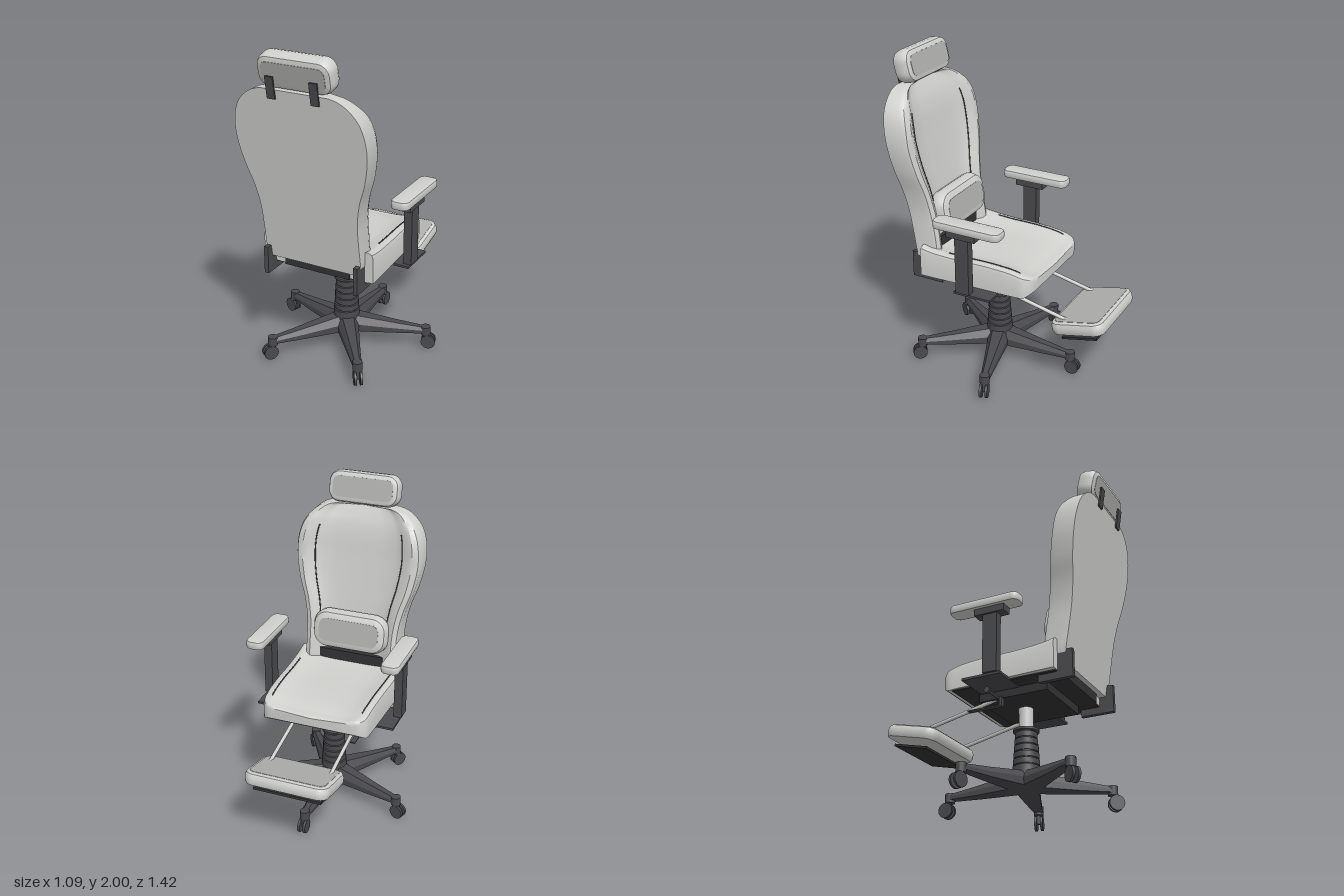
import * as THREE from 'three';
import { toCreasedNormals } from 'three/addons/utils/BufferGeometryUtils.js';

const mat = (name, color, side = THREE.FrontSide) => {
  const m = new THREE.MeshStandardMaterial({ color, side });
  m.name = name;
  return m;
};

// Solid skin over a list of closed rings, with both ends capped
function loft(rings, crease = 0.6) {
  const n = rings[0].length, pos = [], idx = [];
  rings.forEach(r => r.forEach(p => pos.push(p.x, p.y, p.z)));
  for (let i = 0; i < rings.length - 1; i++) for (let j = 0; j < n; j++) {
    const a = i * n + j, b = i * n + (j + 1) % n;
    idx.push(a, b, b + n, a, b + n, a + n);
  }
  [0, rings.length - 1].forEach(i => {
    const c = new THREE.Vector3(), centre = pos.length / 3;
    rings[i].forEach(p => c.addScaledVector(p, 1 / n));
    pos.push(c.x, c.y, c.z);
    for (let j = 0; j < n; j++) {
      const a = i * n + j, b = i * n + (j + 1) % n;
      if (i) idx.push(a, b, centre); else idx.push(b, a, centre);
    }
  });
  const g = new THREE.BufferGeometry();
  g.setAttribute('position', new THREE.Float32BufferAttribute(pos, 3));
  g.setIndex(idx);
  return toCreasedNormals(g, crease);
}

// Full cushion section from half a profile of [across, depth] fractions
const section = half => [[-1, 0], [1, 0], ...half, ...half.filter(p => p[0] > 0).reverse().map(([x, d]) => [-x, d])];
const smoothRows = (rows, n) => new THREE.CatmullRomCurve3(rows.map(r => new THREE.Vector3(...r)), false, 'centripetal').getPoints(n);

function roundedRect(w, h, r) {
  const s = new THREE.Shape(), x = w / 2, y = h / 2;
  s.moveTo(-x + r, -y);
  s.lineTo(x - r, -y).absarc(x - r, -y + r, r, -Math.PI / 2, 0);
  s.lineTo(x, y - r).absarc(x - r, y - r, r, 0, Math.PI / 2);
  s.lineTo(-x + r, y).absarc(-x + r, y - r, r, Math.PI / 2, Math.PI);
  s.lineTo(-x, -y + r).absarc(-x + r, -y + r, r, Math.PI, Math.PI * 1.5);
  return s;
}

export function createModel() {
  const model = new THREE.Group();
  model.name = 'recliningOfficeChair';
  const leather = mat('light grey leather', 0xd0d0cd);
  const panel = mat('mid grey panel', 0xb0b0ae);
  const plastic = mat('dark grey plastic', 0x4a4a4e);
  const black = mat('black underside', 0x333335);
  const metal = mat('pale metal', 0xd2d2cf);

  const add = (name, geo, material, x = 0, y = 0, z = 0, parent = model) => {
    const m = new THREE.Mesh(geo, material);
    m.name = name;
    m.position.set(x, y, z);
    parent.add(m);
    return m;
  };
  // Box given by its limits
  const box = (name, material, x0, x1, y0, y1, z0, z1) =>
    add(name, new THREE.BoxGeometry(x1 - x0, y1 - y0, z1 - z0), material, (x0 + x1) / 2, (y0 + y1) / 2, (z0 + z1) / 2);
  const tube = (name, material, pts, r, n = 24) =>
    add(name, new THREE.TubeGeometry(new THREE.CatmullRomCurve3(pts), n, r, 8), material);
  const V = (x, y, z) => new THREE.Vector3(x, y, z);

  // Bevelled cushion with an inset plate on the chosen faces
  function cushion(name, w, h, d, r, bevel, tilt, x, y, z, faces) {
    const g = new THREE.Group();
    g.name = name;
    g.position.set(x, y, z);
    g.rotation.x = tilt;
    model.add(g);
    const body = new THREE.ExtrudeGeometry(roundedRect(w - 2 * bevel, h - 2 * bevel, r), {
      depth: d - 2 * bevel, bevelSize: bevel, bevelThickness: bevel, bevelSegments: 2, curveSegments: 8 });
    body.translate(0, 0, bevel - d / 2);
    add(name + 'Body', toCreasedNormals(body, 0.5), leather, 0, 0, 0, g);
    faces.forEach(f => {
      const plate = new THREE.ExtrudeGeometry(roundedRect(w - 2 * bevel, h - 2 * bevel, r), { depth: 0.004, bevelEnabled: false, curveSegments: 8 });
      add(name + 'Panel', plate, panel, 0, 0, f * d / 2 - 0.002, g);
    });
  }

  // Backrest: rows of [height, half width, thickness]
  const backRows = smoothRows([[0.7, 0.3, 0.13], [0.76, 0.312, 0.15], [0.9, 0.312, 0.16], [1.05, 0.316, 0.16], [1.18, 0.34, 0.16],
    [1.32, 0.385, 0.158], [1.48, 0.412, 0.156], [1.6, 0.402, 0.156], [1.68, 0.372, 0.142], [1.74, 0.32, 0.115], [1.775, 0.265, 0.095], [1.79, 0.21, 0.085]], 56);
  const backZ = y => 0.51 + (y - 0.75) * 0.162;
  const backPoint = (r, [fx, fd]) => V(fx * r.y, r.x, backZ(r.x) - fd * r.z);
  const backHalf = section([[1, 0.75], [0.97, 0.92], [0.88, 1], [0.8, 0.94], [0.7, 0.78], [0.58, 0.66], [0.35, 0.61], [0, 0.6]]);
  add('backrest', loft(backRows.map(r => backHalf.map(p => backPoint(r, p)))), leather);

  // Seat: rows of [z, half width, top height]
  const seatRows = smoothRows([[-0.278, 0.26, 0.755], [-0.265, 0.3, 0.77], [-0.23, 0.332, 0.783], [-0.15, 0.342, 0.803], [0, 0.348, 0.815],
    [0.2, 0.354, 0.815], [0.38, 0.362, 0.825], [0.46, 0.364, 0.84]], 36);
  const seatPoint = (r, [fx, fd]) => {
    const low = 0.65 + 0.035 * Math.max(0, (-0.23 - r.x) / 0.048);
    return V(fx * r.y, low + fd * (r.z - low), r.x);
  };
  const seatHalf = section([[1, 0.82], [0.98, 0.94], [0.91, 1], [0.84, 0.98], [0.72, 0.88], [0.55, 0.82], [0.3, 0.8], [0, 0.8]]);
  add('seat', loft(seatRows.map(r => seatHalf.map(p => seatPoint(r, p)))), leather);

  // Piping along the bolsters
  for (const s of [-1, 1]) {
    tube('backPiping', plastic, backRows.filter(r => r.x > 0.9 && r.x < 1.66).map(r => backPoint(r, [s * 0.7, 0.785])), 0.004, 60);
    tube('seatPiping', plastic, seatRows.filter(r => r.x > -0.2 && r.x < 0.3).map(r => seatPoint(r, [s * 0.86, 0.99])), 0.004, 40);
  }

  // Headrest, lumbar pillow and footrest
  cushion('headrest', 0.46, 0.2, 0.115, 0.04, 0.035, 0.24, 0, 1.895, 0.63, [-1, 1]);
  cushion('lumbarPillow', 0.5, 0.25, 0.13, 0.05, 0.05, 0.19, 0, 1.015, 0.405, [-1]);
  cushion('footrest', 0.53, 0.35, 0.085, 0.04, 0.028, 0.23 - Math.PI / 2, 0, 0.48, -0.535, [1]);
  const footPlate = box('footrestPlate', black, -0.215, 0.215, 0.396, 0.41, -0.66, -0.43);
  footPlate.rotation.x = 0.23;

  for (const s of [-1, 1]) {
    const strap = box('headrestStrap', plastic, s * 0.135 - 0.025, s * 0.135 + 0.025, 1.74, 1.87, 0.69, 0.7);
    strap.rotation.x = 0.16;
    tube('footrestRod', metal, [V(s * 0.195, 0.6, 0.02), V(s * 0.195, 0.49, -0.48)], 0.012, 1);

    // Bracket carrying the backrest
    box('backBracketUpright', plastic, s * 0.297 - 0.014, s * 0.297 + 0.014, 0.6, 0.77, 0.44, 0.55);
    box('backBracketFoot', plastic, s * 0.297 - 0.014, s * 0.297 + 0.014, 0.6, 0.645, 0.34, 0.44);

    // Armrest
    const pad = new THREE.ExtrudeGeometry(roundedRect(0.085, 0.415, 0.025), {
      depth: 0.025, bevelSize: 0.015, bevelThickness: 0.015, bevelSegments: 2, curveSegments: 6 });
    pad.rotateX(-Math.PI / 2);
    add('armPad', toCreasedNormals(pad, 0.5), leather, s * 0.433, 1.07, 0.075);
    box('armPadMount', plastic, s * 0.433 - 0.037, s * 0.433 + 0.037, 1.015, 1.056, 0.015, 0.205);
    box('armPost', plastic, s * 0.433 - 0.026, s * 0.433 + 0.026, 0.655, 1.02, 0.065, 0.155);
  }
  box('armCrossPlate', plastic, -0.45, 0.45, 0.638, 0.652, -0.07, 0.175);

  // Mechanism below the seat
  box('seatUnderPanel', black, -0.33, 0.33, 0.643, 0.653, -0.2, 0.455);
  box('tiltMechanism', black, -0.22, 0.22, 0.592, 0.643, -0.08, 0.35);
  box('backCrossBeam', black, -0.215, 0.215, 0.643, 0.86, 0.4, 0.47);
  box('leverBar', plastic, -0.235, -0.205, 0.541, 0.549, -0.15, 0.07);
  box('leverHanger', plastic, -0.235, -0.205, 0.545, 0.6, 0.055, 0.07);
  tube('tiltLever', plastic, [V(-0.2, 0.59, 0.05), V(-0.36, 0.59, 0.05)], 0.008, 1);
  const knob = add('tiltKnob', new THREE.CylinderGeometry(0.018, 0.018, 0.022, 16), plastic, -0.365, 0.59, 0.05);
  knob.rotation.z = Math.PI / 2;

  // Gas column with stepped cover
  const cover = [[0, 0.16], [0.084, 0.16]];
  for (let i = 0; i < 6; i++) {
    const r = 0.081 - i * 0.003, y = 0.2 + i * 0.041;
    cover.push([r, y], [r, y + 0.033], [r - 0.01, y + 0.035], [r - 0.01, y + 0.041]);
  }
  cover.push([0.077, 0.446], [0.077, 0.46], [0, 0.46]);
  add('columnCover', toCreasedNormals(new THREE.LatheGeometry(cover.map(p => new THREE.Vector2(...p)), 28), 0.5), plastic, 0, 0, 0.11);
  add('gasPiston', new THREE.CylinderGeometry(0.043, 0.043, 0.15, 24), metal, 0, 0.525, 0.11);

  // Five-star base: arm rows of [distance, half width, bottom, top]
  const armGeo = loft([[0, 0.07, 0.1, 0.2], [0.08, 0.065, 0.1, 0.193], [0.3, 0.043, 0.1, 0.163], [0.5, 0.026, 0.105, 0.14]].map(([z, w, b, t]) => [
    V(-w, b, z), V(w, b, z), V(w, b + (t - b) * 0.5, z), V(w * 0.55, t, z), V(-w * 0.55, t, z), V(-w, b + (t - b) * 0.5, z)]), 0.4);
  for (let i = 0; i < 5; i++) {
    const leg = new THREE.Group();
    leg.name = 'baseLeg';
    leg.position.z = 0.11;
    leg.rotation.y = Math.PI + i * Math.PI * 0.4;
    model.add(leg);
    add('legArm', armGeo, plastic, 0, 0, 0, leg);
    add('casterHousing', new THREE.CylinderGeometry(0.03, 0.03, 0.055, 16), plastic, 0, 0.117, 0.502, leg);
    add('casterStem', new THREE.BoxGeometry(0.018, 0.06, 0.03), plastic, 0, 0.068, 0.512, leg);
    for (const s of [-1, 1]) {
      const wheel = add('casterWheel', new THREE.CylinderGeometry(0.045, 0.045, 0.015, 24), plastic, s * 0.018, 0.045, 0.52, leg);
      wheel.rotation.z = Math.PI / 2;
    }
  }
  return model;
}
